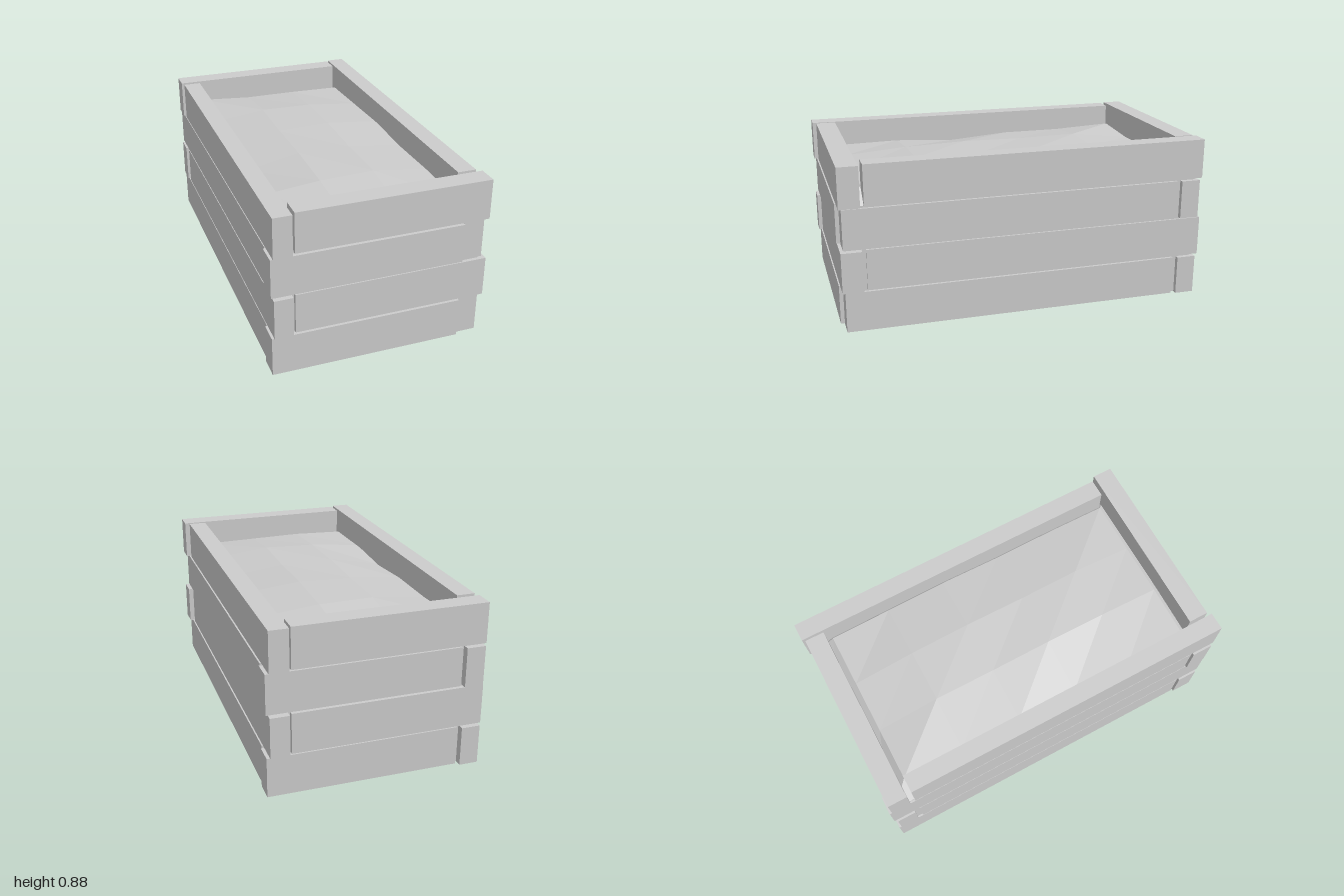
import * as THREE from 'three';

const material = new THREE.MeshStandardMaterial({ color: 0xcccccc, flatShading: true });

// Box given by its limits on each axis
function board(name, [x0, x1], [y0, y1], [z0, z1]) {
  const mesh = new THREE.Mesh(new THREE.BoxGeometry(x1 - x0, y1 - y0, z1 - z0), material);
  mesh.position.set((x0 + x1) / 2, (y0 + y1) / 2, (z0 + z1) / 2);
  mesh.name = name;
  return mesh;
}

// Block of earth: lumpy top, bevelled rim, straight sides, flat underside
function createSoil() {
  const xs = [-0.55, -0.45, -0.155, 0.14, 0.44, 0.535];
  const zs = [-0.96, -0.85, -0.51, -0.17, 0.17, 0.51, 0.85, 0.96];
  const heights = [
    [0.765, 0.745, 0.745, 0.74],
    [0.75, 0.785, 0.78, 0.75],
    [0.75, 0.78, 0.79, 0.76],
    [0.725, 0.785, 0.78, 0.745],
    [0.745, 0.775, 0.785, 0.75],
    [0.74, 0.75, 0.745, 0.74],
  ];
  const top = (i, j) => [xs[i], heights[j - 1]?.[i - 1] ?? 0.665, zs[j]];
  const base = (i, j) => [xs[i], 0.002, zs[j]];
  const points = [];
  const quad = (a, b, c, d) => points.push(...a, ...b, ...c, ...a, ...c, ...d);
  const I = xs.length - 1, J = zs.length - 1;
  for (let i = 0; i < I; i++) {
    for (let j = 0; j < J; j++) quad(top(i, j), top(i, j + 1), top(i + 1, j + 1), top(i + 1, j));
  }
  // Sides and underside
  const ring = [[0, 0], [0, J], [I, J], [I, 0]];
  ring.forEach((p, k) => {
    const q = ring[(k + 1) % 4];
    quad(base(...p), base(...q), top(...q), top(...p));
  });
  quad(base(0, 0), base(I, 0), base(I, J), base(0, J));
  const geometry = new THREE.BufferGeometry();
  geometry.setAttribute('position', new THREE.Float32BufferAttribute(points, 3));
  geometry.computeVertexNormals();
  const mesh = new THREE.Mesh(geometry, material);
  mesh.name = 'soil';
  return mesh;
}

export function createModel() {
  const group = new THREE.Group();
  group.name = 'planterBox';

  // Two alternating board layouts: [x limits, z limits]
  const layouts = [
    {
      frontBoard: [[-0.57, 0.435], [0.87, 0.985]],
      rightBoard: [[0.44, 0.55], [-0.85, 0.965]],
      backBoard: [[-0.445, 0.56], [-0.98, -0.875]],
      leftBoard: [[-0.56, -0.46], [-1, 0.86]],
    },
    {
      frontBoard: [[-0.447, 0.57], [0.872, 0.98]],
      rightBoard: [[0.447, 0.546], [-1, 0.85]],
      backBoard: [[-0.57, 0.435], [-0.985, -0.88]],
      leftBoard: [[-0.56, -0.463], [-0.85, 1]],
    },
  ];
  const layers = [[0, 0.213], [0.221, 0.436], [0.444, 0.655], [0.663, 0.878]];
  layers.forEach((y, n) => {
    const layer = new THREE.Group();
    layer.name = 'boardLayer' + (n + 1);
    for (const [name, [x, z]] of Object.entries(layouts[n % 2])) layer.add(board(name, x, y, z));
    group.add(layer);
  });

  group.add(createSoil());
  return group;
}
